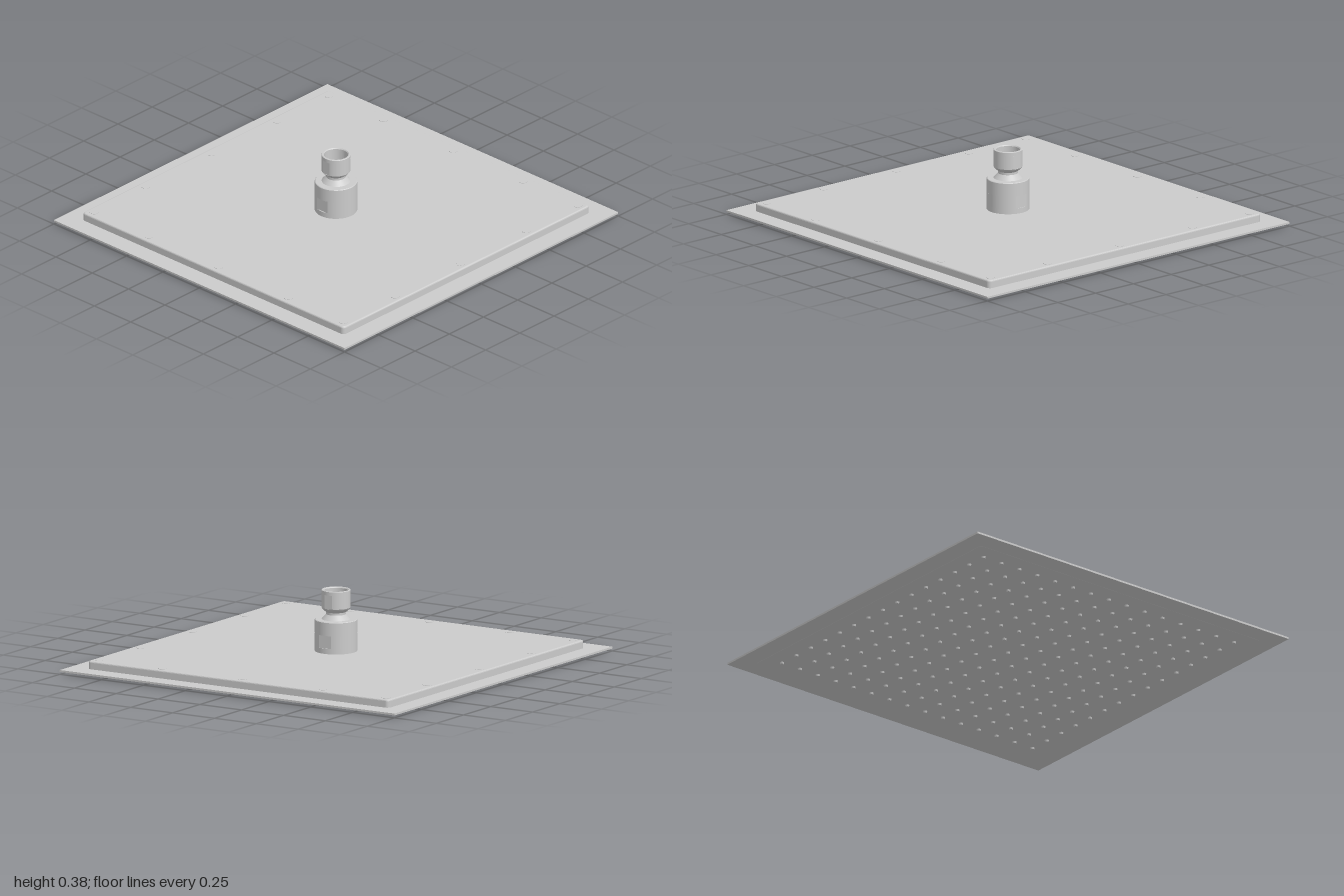
import * as THREE from 'three';

const grey = new THREE.MeshStandardMaterial({ color: 0xcccccc });
const sided = new THREE.MeshStandardMaterial({ color: 0xcccccc, side: THREE.DoubleSide });

export function createModel() {
  const model = new THREE.Group();

  const add = (name, geometry, x = 0, y = 0, z = 0, parent = model, material = grey) => {
    const mesh = new THREE.Mesh(geometry, material);
    mesh.name = name;
    mesh.position.set(x, y, z);
    parent.add(mesh);
    return mesh;
  };

  // Revolve a profile with crisp corners: each segment is its own lathe
  const turned = (name, points) => {
    const group = new THREE.Group();
    group.name = name;
    for (let i = 0; i < points.length - 1; i++) {
      const pair = [points[i], points[i + 1]].map(([r, y]) => new THREE.Vector2(r, y));
      add(name + 'Band', new THREE.LatheGeometry(pair, 64), 0, 0, 0, group, sided);
    }
    model.add(group);
  };

  // Upright disc with two spanner flats facing +x and -x, optionally bored
  const flattedDisc = (name, radius, flat, y0, y1, bore = 0) => {
    const a = Math.acos(flat / radius);
    const shape = new THREE.Shape();
    shape.absarc(0, 0, radius, a, Math.PI - a, false);
    shape.absarc(0, 0, radius, Math.PI + a, 2 * Math.PI - a, false);
    shape.closePath();
    if (bore) shape.holes.push(new THREE.Path().absarc(0, 0, bore, 0, 2 * Math.PI, true));
    const geometry = new THREE.ExtrudeGeometry(shape, {
      depth: y1 - y0, bevelEnabled: false, curveSegments: 32,
    });
    geometry.rotateX(-Math.PI / 2);
    add(name, geometry, 0, y0, 0);
  };

  // Thin face plate
  add('facePlate', new THREE.BoxGeometry(2, 0.01, 2), 0, 0.017, 0);

  // Rear housing with rounded corners and a softened top edge
  const h = 0.892, c = 0.012;
  const outline = new THREE.Shape();
  outline.absarc(h - c, h - c, c, 0, Math.PI / 2, false);
  outline.absarc(c - h, h - c, c, Math.PI / 2, Math.PI, false);
  outline.absarc(c - h, c - h, c, Math.PI, Math.PI * 1.5, false);
  outline.absarc(h - c, c - h, c, Math.PI * 1.5, Math.PI * 2, false);
  const housing = new THREE.ExtrudeGeometry(outline, {
    depth: 0.037, bevelThickness: 0.008, bevelSize: 0.008, bevelSegments: 3, curveSegments: 6,
  });
  housing.rotateX(-Math.PI / 2);
  add('housing', housing, 0, 0.018, 0);

  // Screw heads around the rim of the housing
  const screws = new THREE.Group();
  screws.name = 'screws';
  model.add(screws);
  const screwGeometry = new THREE.CylinderGeometry(0.022, 0.022, 0.004, 24);
  const stops = [-0.857, -0.48, 0, 0.48, 0.857];
  for (const x of stops) {
    for (const z of stops) {
      if (Math.max(Math.abs(x), Math.abs(z)) > 0.8) add('screw', screwGeometry, x, 0.0625, z, screws);
    }
  }

  // Grid of spray nozzles below the plate
  const nozzles = new THREE.Group();
  nozzles.name = 'nozzles';
  model.add(nozzles);
  const nozzleGeometry = new THREE.CylinderGeometry(0.012, 0.009, 0.013, 12);
  for (let i = -7; i <= 7; i++) {
    for (let j = -7; j <= 7; j++) add('nozzle', nozzleGeometry, i * 0.115, 0.0065, j * 0.115, nozzles);
  }

  // Joint nut on the housing, with a recessed flat on each side
  turned('jointNutBottom', [[0.107, 0.06], [0.107, 0.09], [0, 0.09]]);
  flattedDisc('jointNutFlats', 0.107, 0.101, 0.09, 0.155);
  turned('jointNutTop', [[0, 0.155], [0.107, 0.155], [0.107, 0.222], [0.104, 0.225], [0.072, 0.225]]);

  // Swivel neck
  turned('swivelNeck', [[0.072, 0.225], [0.066, 0.232], [0.05, 0.25], [0.05, 0.262], [0.058, 0.268], [0.07, 0.28]]);

  // Threaded inlet collar: flatted wall, top lip and hollow bore
  turned('collarBase', [[0.07, 0.28], [0.073, 0.285], [0.06, 0.285]]);
  flattedDisc('collarWall', 0.073, 0.0695, 0.285, 0.355, 0.06);
  turned('collarLip', [[0.06, 0.355], [0.073, 0.355], [0.073, 0.373], [0.071, 0.375], [0.064, 0.375], [0.06, 0.37], [0.06, 0.355]]);
  turned('collarFloor', [[0.06, 0.29], [0.035, 0.285], [0.035, 0.24], [0, 0.24]]);

  return model;
}
